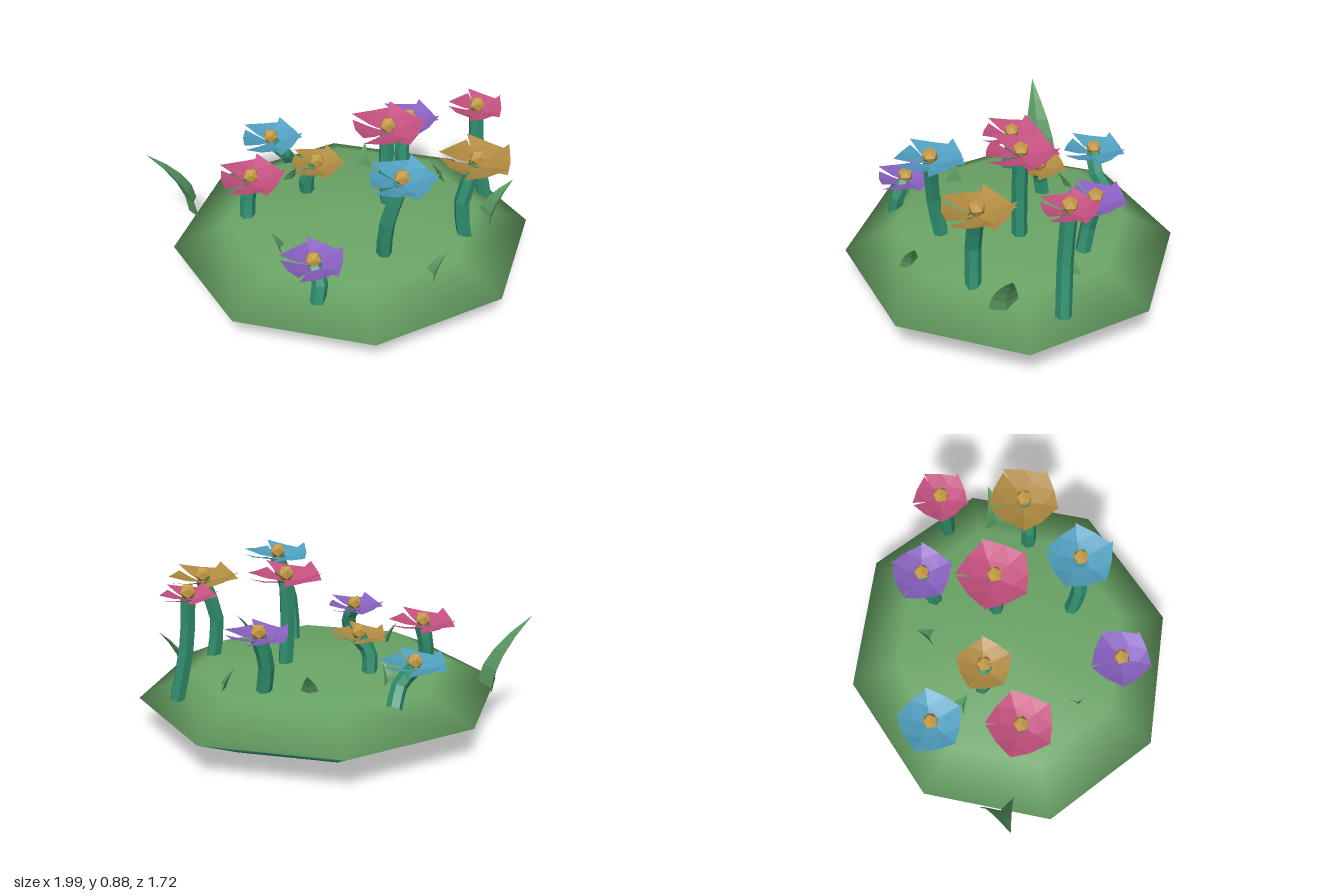
import * as THREE from 'three';

const mat = (color, flat = true) =>
  new THREE.MeshStandardMaterial({ color, flatShading: flat, side: THREE.DoubleSide });

const PINK = 0xc4507f, BLUE = 0x4f9fc0, PURPLE = 0x8860c0, GOLD = 0xb08a40;

function addMesh(parent, name, geometry, material) {
  const mesh = new THREE.Mesh(geometry, material);
  mesh.name = name;
  parent.add(mesh);
  return mesh;
}

function build(points, faces) {
  const g = new THREE.BufferGeometry();
  g.setAttribute('position', new THREE.Float32BufferAttribute(points, 3));
  g.setIndex(faces);
  g.computeVertexNormals();
  return g;
}

// One broad twisted petal of a five-petalled whorl, unit radius, centred on +x
function petalGeometry() {
  const pts = [0, -0.04, 0];
  const put = (r, deg, y) => {
    const a = THREE.MathUtils.degToRad(deg);
    pts.push(r * Math.cos(a), y, r * Math.sin(a));
  };
  put(0.5, -40, 0.08);
  put(0.5, 38, -0.02);
  put(1.0, -38, 0.28);
  put(0.86, 0, 0.14);
  put(0.98, 34, 0.1);
  return build(pts, [0, 2, 1, 1, 4, 3, 1, 2, 4, 2, 5, 4]);
}

// Folded blade that leans further out along +x as it rises
function bladeGeometry(height, lean, width) {
  const pts = [], faces = [], rows = 5;
  for (let i = 0; i < rows; i++) {
    const t = i / (rows - 1);
    const w = (width / 2) * (1 - t ** 1.5);
    const x = lean * t ** 1.8, y = height * t;
    pts.push(x, y, -w, x + w * 0.5, y - w * 0.15, 0, x, y, w);
    if (i === 0) continue;
    for (let j = 0; j < 2; j++) {
      const a = (i - 1) * 3 + j, b = i * 3 + j;
      faces.push(a, b, a + 1, a + 1, b, b + 1);
    }
  }
  return build(pts, faces);
}

export function createModel() {
  const model = new THREE.Group();
  model.name = 'flowerPatch';

  // Lens-shaped eight-sided mound, in a grassy upper and darker lower half
  const halves = [['moundTop', 0, 0x6aa566], ['moundUnderside', Math.PI / 2, 0x2f8468]];
  for (const [name, start, color] of halves) {
    const g = new THREE.SphereGeometry(1, 8, 2, 0, Math.PI * 2, start, Math.PI / 2);
    const half = addMesh(model, name, g, mat(color, false));
    half.scale.set(0.945, 0.19, 0.86);
    half.position.set(0.05, 0.19, 0);
  }

  // Flowers: colour, bulb centre, radius, turn in degrees, stem bend, stem foot
  const flowers = [
    [BLUE, [-0.34, 0.515, -0.495], 0.175, 5, [-0.27, 0.4, -0.5], [-0.23, 0.3, -0.56]],
    [PURPLE, [0.40, 0.66, -0.38], 0.165, 13, [0.365, 0.49, -0.36], [0.38, 0.31, -0.33]],
    [PINK, [0.725, 0.82, -0.205], 0.148, -22, [0.74, 0.55, -0.19], [0.80, 0.25, -0.18]],
    [PINK, [-0.47, 0.57, -0.06], 0.18, -3, [-0.49, 0.45, -0.06], [-0.5, 0.31, -0.04]],
    [GOLD, [-0.12, 0.56, -0.17], 0.15, 10, [-0.17, 0.46, -0.18], [-0.17, 0.32, -0.2]],
    [PINK, [0.23, 0.84, -0.035], 0.195, -5, [0.225, 0.58, -0.03], [0.24, 0.33, -0.03]],
    [GOLD, [0.64, 0.775, 0.21], 0.19, -20, [0.575, 0.53, 0.225], [0.6, 0.3, 0.23]],
    [BLUE, [0.23, 0.83, 0.405], 0.18, 7, [0.165, 0.54, 0.395], [0.16, 0.32, 0.36]],
    [PURPLE, [-0.21, 0.475, 0.53], 0.165, -22, [-0.185, 0.38, 0.57], [-0.2, 0.26, 0.6]],
  ];
  const petal = petalGeometry();
  const stemMat = mat(0x2f8f6e), bulbMat = mat(0xc49a45);
  const v = (p) => new THREE.Vector3(...p);

  for (const [color, bulb, radius, turn, bend, foot] of flowers) {
    const flower = new THREE.Group();
    flower.name = 'flower';
    model.add(flower);

    const top = v(bulb).add(new THREE.Vector3(0, -0.035, 0));
    const path = new THREE.CatmullRomCurve3([v(foot), v(bend), top]);
    addMesh(flower, 'stem', new THREE.TubeGeometry(path, 4, 0.04, 6), stemMat);

    const head = new THREE.Group();
    head.name = 'blossom';
    head.position.copy(top);
    flower.add(head);
    const petalMat = mat(color);
    for (let k = 0; k < 5; k++) {
      const leaf = addMesh(head, 'petal', petal, petalMat);
      leaf.scale.setScalar(radius);
      leaf.rotation.y = -THREE.MathUtils.degToRad(turn + 36 + 72 * k);
    }
    const centre = addMesh(head, 'bulb', new THREE.IcosahedronGeometry(0.042, 0), bulbMat);
    centre.position.y = 0.035;
  }

  // Grass blades: foot, height, lean, lean direction in degrees (x towards z), width
  const blades = [
    [[-0.76, 0.25, -0.25], 0.375, 0.24, 176, 0.19],
    [[0.73, 0.28, 0.095], 0.24, 0.15, -10, 0.15],
    [[0.36, 0.29, 0.53], 0.15, 0.1, -15, 0.1],
    [[0.155, 0.31, -0.38], 0.14, 0.09, -75, 0.1],
    [[0.59, 0.29, -0.25], 0.14, 0.08, 180, 0.1],
    [[-0.26, 0.3, -0.35], 0.14, 0.08, 60, 0.1],
    [[-0.33, 0.3, 0.27], 0.14, 0.07, 190, 0.1],
  ];
  const bladeMat = mat(0x5a9a62);
  for (const [foot, height, lean, dir, width] of blades) {
    const blade = addMesh(model, 'grassBlade', bladeGeometry(height, lean, width), bladeMat);
    blade.position.set(...foot);
    blade.rotation.y = -THREE.MathUtils.degToRad(dir);
  }
  return model;
}
